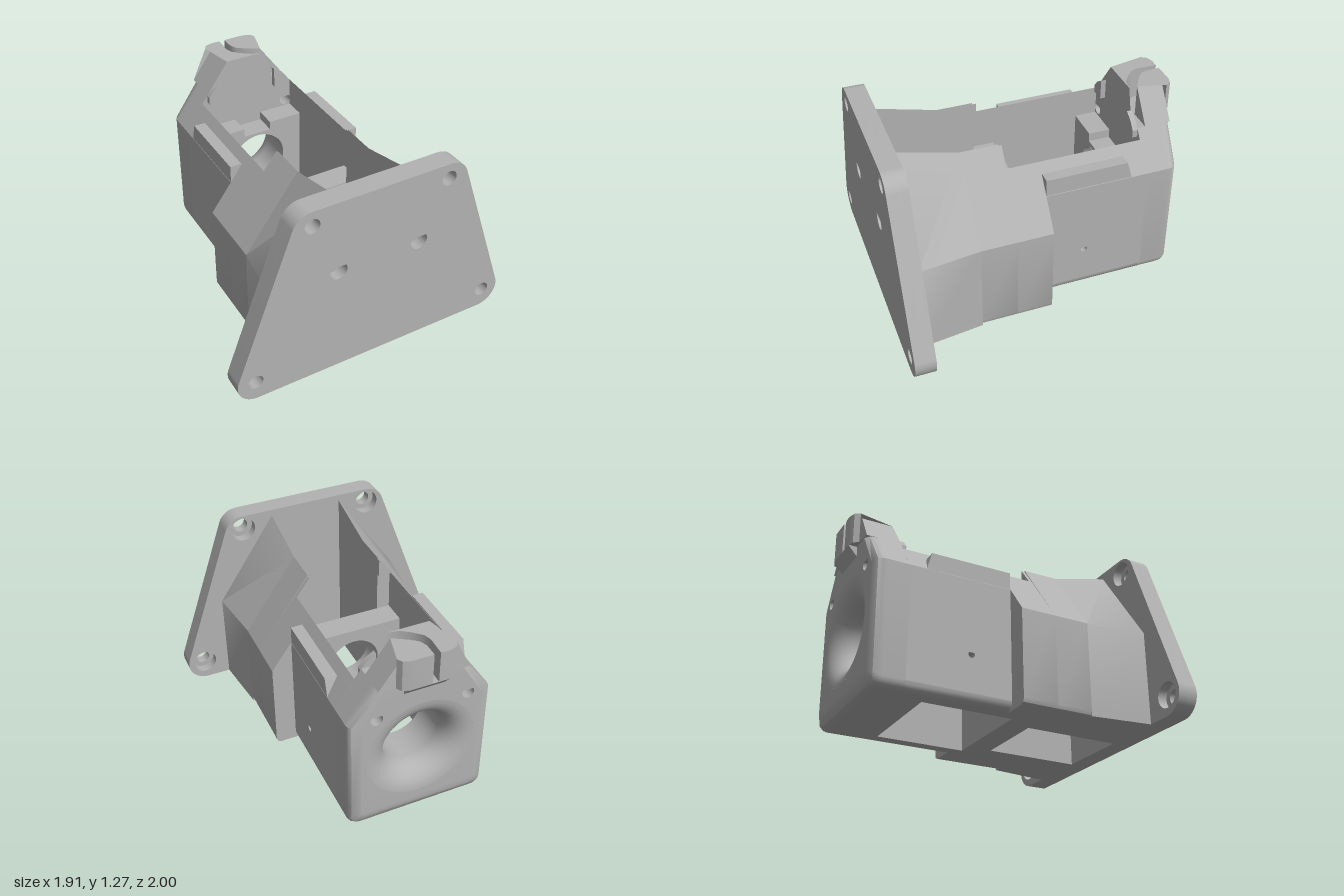
import * as THREE from 'three';
import { toCreasedNormals } from 'three/addons/utils/BufferGeometryUtils.js';

const grey = new THREE.MeshStandardMaterial({ color: 0xb2b2b2, side: THREE.DoubleSide });
grey.name = 'plain grey';

export function createModel() {
  const group = new THREE.Group();
  const add = (name, geo) => {
    const mesh = new THREE.Mesh(toCreasedNormals(geo, 0.6), grey);
    mesh.name = name;
    group.add(mesh);
  };
  const poly = (pts) => new THREE.Shape(pts.map(([x, y]) => new THREE.Vector2(x, y)));
  const mirror = (pts) => pts.map(([x, y]) => [-x, y]);
  const circle = (x, y, r) => new THREE.Path().absarc(x, y, r, 0, Math.PI * 2, false);
  // teardrop hole: round below, pointed tip above
  const drop = (x, y, r, tip, lean = 0) => {
    const p = new THREE.Path();
    p.moveTo(x + lean, y + tip);
    p.absarc(x, y, r, Math.PI * 0.8, Math.PI * 2.2, false);
    p.closePath();
    return p;
  };
  // extrude an x-y shape from z0 to z1
  const slab = (shape, z0, z1, steps = 1) =>
    new THREE.ExtrudeGeometry(shape, { depth: z1 - z0, bevelEnabled: false, curveSegments: 16, steps }).translate(0, 0, z0);
  const moveVertices = (geo, rule) => {
    const p = geo.attributes.position, v = new THREE.Vector3();
    for (let i = 0; i < p.count; i++) {
      v.fromBufferAttribute(p, i);
      rule(v);
      p.setXYZ(i, v.x, v.y, v.z);
    }
    return geo;
  };
  const bothSides = (name, pts, z0, z1, rule) => {
    for (const [side, list] of [['left', pts], ['right', mirror(pts)]]) {
      const geo = slab(poly(list), z0, z1);
      add(side + name, rule ? moveVertices(geo, rule) : geo);
    }
  };

  // mounting plate: two layers, screw holes counterbored from behind, blind teardrop sockets in front
  const plate = (screwRadius, sockets) => {
    const s = new THREE.Shape(), a = 0.344, r = 0.135, P = Math.PI;
    s.absarc(0.82, r, r, -P / 2, a, false);
    s.absarc(0.46, 1.137, r, a, P / 2, false);
    s.absarc(-0.46, 1.137, r, P / 2, P - a, false);
    s.absarc(-0.82, r, r, P - a, P * 1.5, false);
    for (const k of [-1, 1]) {
      s.holes.push(circle(k * 0.46, 1.17, screwRadius), circle(k * 0.835, 0.137, screwRadius));
      s.holes.push(sockets(k));
    }
    return s;
  };
  add('mountingPlateFront', slab(plate(0.05, (k) => drop(k * 0.28, 0.77, 0.058, 0.125, k > 0 ? -0.03 : 0.03)), 0.93, 1));
  add('mountingPlateBack', slab(plate(0.085, (k) => circle(k * 0.285, 0.77, 0.03)), 0.865, 0.93));

  // front housing walls: flared next to the plate, then straight, then thinner around the rear bay
  bothSides('FlaredWall', [[0.25, 0], [0.61, 0], [0.61, 0.63], [0.25, 1.13]], 0.46, 0.866, (v) => {
    if (v.z > 0.8) {
      if (Math.abs(v.x) > 0.5) v.x = Math.sign(v.x) * 0.66;
      if (v.y > 1) v.y = 1.23;
    }
  });
  const foot = [[0.575, 0], [0.6, 0.01], [0.61, 0.035]];
  bothSides('FrontWall', [[0.25, 0], ...foot, [0.61, 0.63], [0.25, 1.13]], 0.22, 0.46);
  bothSides('BayWall', [[0.34, 0], ...foot, [0.61, 0.63], [0.34, 1]], -0.02, 0.22);
  bothSides('WallEnd', [[0.25, 1], [0.34, 1], [0.25, 1.12]], 0.195, 0.22);

  // cross wall between the two bays
  const divider = poly([[-0.34, 0], [0.34, 0], [0.34, 0.72], [-0.34, 0.72]]);
  divider.holes.push(circle(0, 0.45, 0.18));
  add('dividingWall', slab(divider, 0.05, 0.22));

  // rear bay sides: rounded foot, drilled wall, sloping shoulder and raised rib
  const arc = [0, 1, 2, 3, 4].map((i) => {
    const t = (i / 4) * Math.PI / 2;
    return [0.41 + 0.06 * Math.sin(t), 0.06 - 0.06 * Math.cos(t)];
  });
  bothSides('RearFoot', [[0.34, 0], ...arc, [0.34, 0.06]], -0.72, -0.02);
  bothSides('RearShoulder', [[0.34, 0.82], [0.47, 0.82], [0.34, 1]], -0.72, -0.02);
  bothSides('Rib', [[0.39, 0.82], [0.468, 0.82], [0.468, 0.94], [0.39, 0.94]], -0.605, -0.02, (v) => {
    if (v.z < -0.5 && v.y > 0.9) v.z = -0.57;
  });
  for (const [side, x] of [['left', 0.34], ['right', -0.47]]) {
    const wall = poly([[0.02, 0.06], [0.72, 0.06], [0.72, 0.82], [0.02, 0.82]]);
    wall.holes.push(drop(0.295, 0.31, 0.022, 0.035));
    // shape x runs toward the back
    add(side + 'RearWall', slab(wall, 0, 0.13).rotateY(Math.PI / 2).translate(x, 0, 0));
  }

  // end wall with rounded rear edges and sloping shoulders
  const top = [[0.295, 1.06], [-0.295, 1.06]];
  const end = poly([...arc, [0.47, 0.82], ...top, [-0.47, 0.82], ...mirror(arc).reverse()]);
  end.holes.push(circle(0, 0.52, 0.36), drop(0.3, 0.85, 0.04, 0.065), drop(-0.3, 0.85, 0.04, 0.065));
  const R = 0.07;
  add('endWall', moveVertices(slab(end, -0.94, -0.71, 10), (v) => {
    const t = Math.max(0, R - (v.z + 0.94));
    const d = R - Math.sqrt(R * R - Math.min(t, R) ** 2);
    if (Math.abs(v.x) > 0.4 || v.y < 0.1 || v.y > 0.95) {
      v.x *= 1 - d / 0.47;
      if (v.y < 0.1) v.y += d * (1 - v.y / 0.52);
    }
  }));

  // flared round opening and its inner flange
  const flare = [];
  for (let i = 0; i <= 8; i++) {
    const t = (i / 8) * Math.PI / 2;
    flare.push(new THREE.Vector2(0.36 - 0.16 * Math.sin(t), -0.78 - 0.16 * Math.cos(t)));
  }
  flare.push(new THREE.Vector2(0.2, -0.56));
  const turned = (pts) => new THREE.LatheGeometry(pts, 40).rotateX(Math.PI / 2).translate(0, 0.52, 0);
  add('flaredOpening', turned(flare));
  add('openingFlange', turned([new THREE.Vector2(0.2, -0.715), new THREE.Vector2(0.37, -0.715)]));

  // thick inner seat with a central slot
  const seat = poly([[-0.34, 0], [0.34, 0], [0.34, 0.8], [0.1, 0.8], [0.1, 0.74], [-0.1, 0.74], [-0.1, 0.8], [-0.34, 0.8]]);
  seat.holes.push(circle(0, 0.52, 0.203));
  add('innerSeat', slab(seat, -0.71, -0.56));

  // crest in two halves with a curved cable channel between them (x, distance to the back)
  const crest = (name, pts) => {
    const geo = slab(poly(pts), 0, 0.212).rotateX(-Math.PI / 2).translate(0, 1.06, 0);
    add(name, moveVertices(geo, (v) => {
      const limit = 0.295 - (v.y - 1.06) * 0.73;
      if (v.z > -0.943) v.x = THREE.MathUtils.clamp(v.x, -limit, limit);
    }));
  };
  crest('leftCrest', [[-0.02, 1], [0.12, 1], [0.17, 0.985], [0.19, 0.95], [0.295, 0.94], [0.295, 0.765],
    [0.14, 0.765], [0.05, 0.82], [0, 0.86], [-0.02, 0.91]]);
  crest('rightCrest', [[-0.06, 1], [-0.065, 0.87], [-0.05, 0.82], [0, 0.77], [0.06, 0.725], [0.2, 0.71],
    [-0.295, 0.71], [-0.295, 0.94], [-0.19, 0.95], [-0.17, 0.985], [-0.12, 1]]);
  add('crestUnderside', slab(poly([[0.93, 0.99], [0.94, 0.99], [1, 1.06], [0.93, 1.06]]), -0.13, 0.13).rotateY(Math.PI / 2));

  // small stops on the inner face of the end wall
  bothSides('Stop', [[0.2, 1], [0.3, 1], [0.3, 1.05], [0.26, 1.1], [0.2, 1.14]], -0.71, -0.675);

  return group;
}
